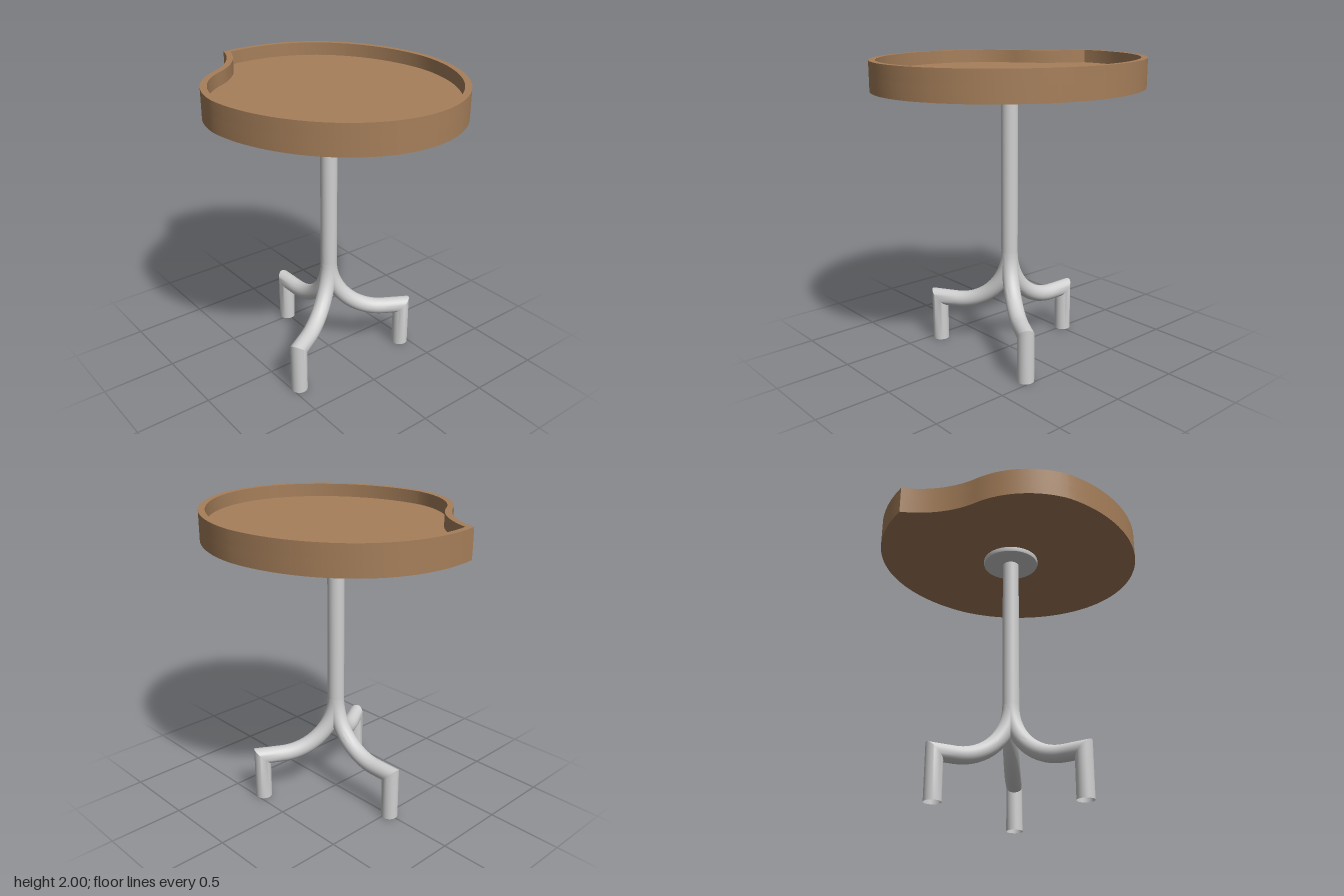
import * as THREE from 'three';
import { toCreasedNormals } from 'three/addons/utils/BufferGeometryUtils.js';

const wood = new THREE.MeshStandardMaterial({ color: 0xa67f5a });
wood.name = 'wood';
const metal = new THREE.MeshStandardMaterial({ color: 0xd0d0d0, side: THREE.DoubleSide });
metal.name = 'metal';

const TUBE = 0.056;      // radius of pole and legs
const RIM = 0.042;       // thickness of the tray rim
const UNDER = 1.81, FLOOR = 1.912, TOP = 2;

function mesh(name, geometry, material) {
  const m = new THREE.Mesh(geometry, material);
  m.name = name;
  return m;
}

// Mitred left-hand offset at p, for unit distance
function mitre(prev, p, next) {
  const a = p.clone().sub(prev).normalize();
  const b = next.clone().sub(p).normalize();
  const n = new THREE.Vector2(-a.y - b.y, a.x + b.x).normalize();
  return n.divideScalar(n.x * -a.y + n.y * a.x);
}

// Round tube along a flat path in the xy plane, with mitred corners
function sweep(path, radius, sides = 32) {
  const pos = [], index = [];
  path.forEach((p, i) => {
    const prev = path[i - 1] ?? p.clone().multiplyScalar(2).sub(path[i + 1]);
    const next = path[i + 1] ?? p.clone().multiplyScalar(2).sub(path[i - 1]);
    const n = mitre(prev, p, next);
    for (let j = 0; j < sides; j++) {
      const t = (j / sides) * Math.PI * 2;
      const c = Math.cos(t) * radius;
      pos.push(p.x + n.x * c, p.y + n.y * c, Math.sin(t) * radius);
      if (i === path.length - 1) continue;
      const a = i * sides + j, b = i * sides + ((j + 1) % sides);
      index.push(a, b, a + sides, b, b + sides, a + sides);
    }
  });
  const g = new THREE.BufferGeometry();
  g.setAttribute('position', new THREE.Float32BufferAttribute(pos, 3));
  g.setIndex(index);
  return toCreasedNormals(g, 0.6);
}

// Tray outline: rounded, with a scooped notch at the front right
function trayOutline() {
  const s = new THREE.Shape();
  s.moveTo(0, 0.828);
  s.bezierCurveTo(-0.48, 0.82, -1.025, 0.48, -0.91, -0.2);
  s.bezierCurveTo(-0.72, -0.26, -0.59, -0.38, -0.52, -0.5);
  s.bezierCurveTo(-0.41, -0.7, -0.2, -0.81, 0, -0.82);
  s.bezierCurveTo(0.48, -0.81, 0.917, -0.45, 0.917, 0);
  s.bezierCurveTo(0.917, 0.45, 0.48, 0.82, 0, 0.828);
  return s.curves.flatMap((c) => c.getPoints(28).slice(0, -1));
}

// Upright slab from a plan shape
function slab(shape, y0, y1) {
  const g = new THREE.ExtrudeGeometry(shape, { depth: y1 - y0, bevelEnabled: false });
  g.rotateX(-Math.PI / 2);
  g.translate(0, y0, 0);
  return toCreasedNormals(g, 0.5);
}

export function createModel() {
  const table = new THREE.Group();
  table.name = 'sideTable';

  // Tray top
  const outer = trayOutline();
  const count = outer.length;
  const inner = outer.map((p, i) =>
    mitre(outer[(i + count - 1) % count], p, outer[(i + 1) % count])
      .multiplyScalar(RIM).add(p));
  const rim = new THREE.Shape(outer);
  rim.holes.push(new THREE.Path(inner));
  const tray = new THREE.Group();
  tray.name = 'tray';
  tray.add(
    mesh('trayBase', slab(new THREE.Shape(outer), UNDER, FLOOR), wood),
    mesh('trayRim', slab(rim, FLOOR, TOP), wood),
  );
  table.add(tray);

  // Mounting plate with softened lower edge
  const profile = [[0, 1.776], [0.178, 1.776], [0.187, 1.78], [0.19, 1.788], [0.19, UNDER]]
    .map(([x, y]) => new THREE.Vector2(x, y));
  table.add(mesh('mountingPlate',
    toCreasedNormals(new THREE.LatheGeometry(profile, 48), 0.6), metal));

  // Pole
  const pole = mesh('pole', new THREE.CylinderGeometry(TUBE, TUBE, 1.09, 32, 1, true), metal);
  pole.position.y = 0.7 + 1.09 / 2;
  table.add(pole);

  // Three legs: quarter bend, short run outwards, mitred foot
  const bend = 0.39;
  const path = [];
  for (let i = 0; i <= 20; i++) {
    const t = (i / 20) * Math.PI / 2;
    path.push(new THREE.Vector2(bend * (1 - Math.cos(t)), 0.7 - bend * Math.sin(t)));
  }
  path.push(new THREE.Vector2(0.52, 0.31), new THREE.Vector2(0.52, 0));
  const legGeometry = sweep(path, TUBE);
  [Math.PI, Math.PI / 3, -Math.PI / 3].forEach((angle, i) => {
    const leg = mesh(['rightLeg', 'backLeftLeg', 'frontLeftLeg'][i], legGeometry, metal);
    leg.rotation.y = angle;
    table.add(leg);
  });

  return table;
}
